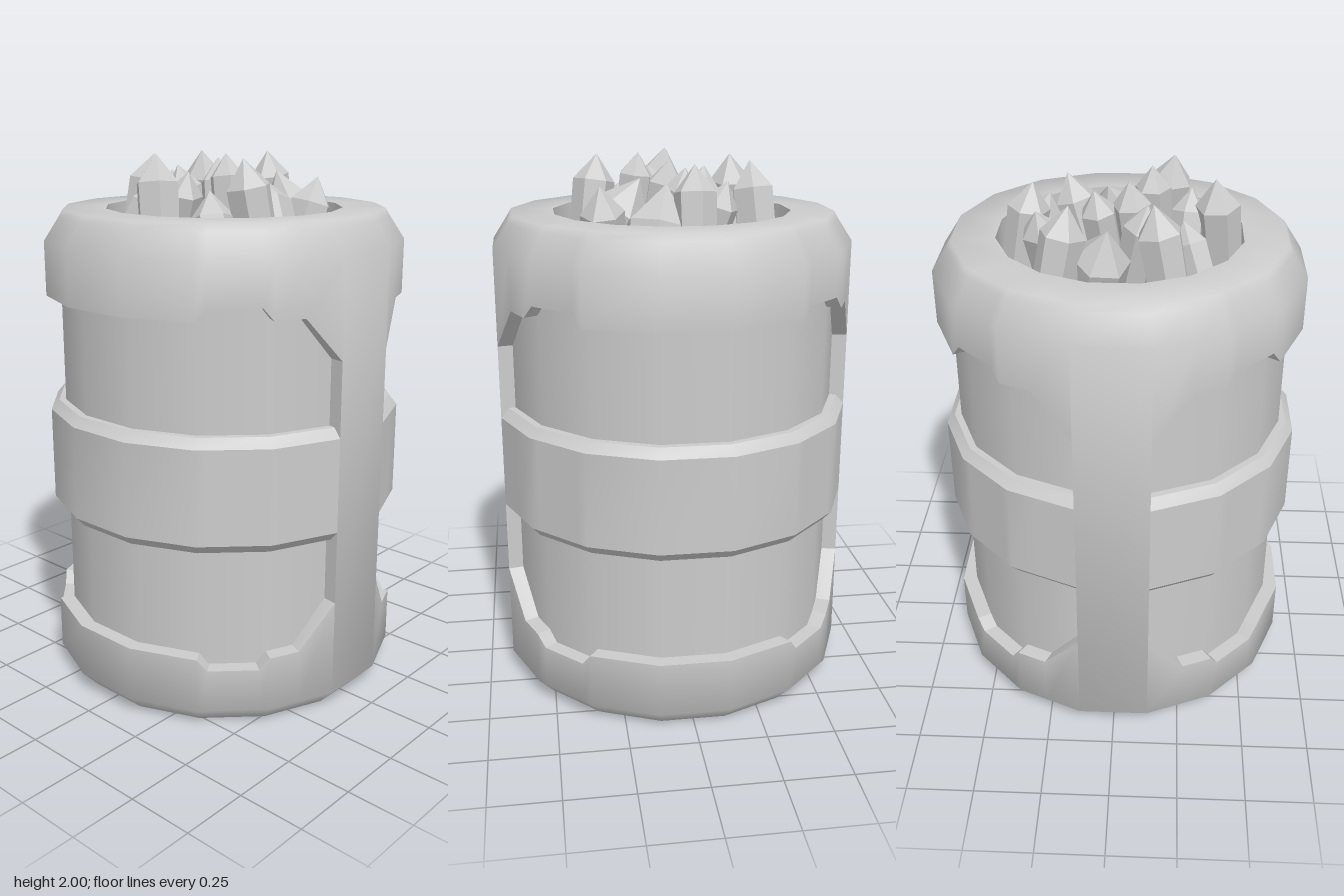
import * as THREE from 'three';
import { toCreasedNormals } from 'three/addons/utils/BufferGeometryUtils.js';

const RAD = Math.PI / 180, STEP = 22.5;
const OUTER = 0.66, INNER = 0.605, FLOOR = 1.55;
const MID = 0.88; // height about which the two rows of recesses mirror
const material = new THREE.MeshStandardMaterial({ color: 0xcccccc });
const flatMaterial = new THREE.MeshStandardMaterial({ color: 0xcccccc, flatShading: true });

// Point on a 16-sided prism: angle in degrees from the front, flat-to-centre distance, height
function point(deg, apothem, y) {
  const off = deg - Math.round(deg / STEP) * STEP;
  const r = apothem / Math.cos(off * RAD);
  return [r * Math.sin(deg * RAD), y, r * Math.cos(deg * RAD)];
}

function quad(out, a, b, c, d) {
  out.push(...a, ...b, ...c, ...a, ...c, ...d);
}

function addMesh(group, name, positions, crease) {
  const g = new THREE.BufferGeometry();
  g.setAttribute('position', new THREE.Float32BufferAttribute(positions, 3));
  const mesh = new THREE.Mesh(toCreasedNormals(g, crease), material);
  mesh.name = name;
  group.add(mesh);
}

// Recess edge under the top cap: [angle, height], mirrored about the side at 90 degrees
const quarter = [[11.25, 1.33], [23.7, 1.49], [33.75, 1.49], [37, 1.535], [53, 1.535], [56.25, 1.49], [78.75, 1.49]];
const edge = [...quarter, ...quarter.map(([d, y]) => [180 - d, y]).reverse()];
const BAND_TOP = 1.055, BEVEL_TOP = 1.09;
const flip = (y) => 2 * MID - y;

// Profiles as [apothem, height]
const bottomProfile = [[0, 0], [0.6, 0], [OUTER, 0.065]];
const topProfile = [[OUTER, 1.69], [0.605, 1.775], [0.59, 1.8], [0.435, 1.8], [0.435, FLOOR], [0, FLOOR]];

function buildShell(group) {
  const shell = [], walls = [];
  const strip = (d0, d1, rows) => {
    // each row is [apothem, height at d0, height at d1]
    for (let i = 0; i < rows.length - 1; i++) {
      const [a, a0, a1] = rows[i], [b, b0, b1] = rows[i + 1];
      quad(shell, point(d0, a, a0), point(d1, a, a1), point(d1, b, b1), point(d0, b, b0));
    }
  };
  const level = (profile) => profile.map(([a, y]) => [a, y, y]);

  for (const turn of [0, 180]) {
    // vertical rib joining the two caps
    strip(turn - 11.25, turn + 11.25, level([...bottomProfile, ...topProfile]));
    // caps and middle band beside it
    for (let i = 0; i < edge.length - 1; i++) {
      const [d0, y0] = edge[i], [d1, y1] = edge[i + 1];
      const s = turn + d0, e = turn + d1;
      strip(s, e, [...level(bottomProfile), [OUTER, flip(y0), flip(y1)]]);
      strip(s, e, level([[OUTER, flip(BAND_TOP)], [OUTER, BAND_TOP]]));
      strip(s, e, [[OUTER, y0, y1], ...level(topProfile)]);
    }
    // recess walls: bevelled along the band, straight elsewhere
    const outline = [];
    for (let d = 11.25; d < 170; d += STEP) outline.push([d, BAND_TOP, BEVEL_TOP]);
    for (const [d, y] of [...edge].reverse()) outline.push([d, y, y]);
    for (const upper of [true, false]) {
      const loop = upper ? outline : outline.map(([d, o, n]) => [d, flip(o), flip(n)]).reverse();
      loop.forEach(([d0, o0, n0], i) => {
        const [d1, o1, n1] = loop[(i + 1) % loop.length];
        const s = turn + d0, e = turn + d1;
        quad(walls, point(s, OUTER, o0), point(e, OUTER, o1), point(e, 0.63, n1), point(s, 0.63, n0));
        quad(walls, point(s, 0.63, n0), point(e, 0.63, n1), point(e, INNER, n1), point(s, INNER, n0));
      });
    }
  }
  addMesh(group, 'outerShell', shell, 1.3);
  addMesh(group, 'recessWalls', walls, 0.45);
}

// Crystals: [tip x, tip z, tip height, base x, base z, radius]
const crystals = [
  [-0.12, -0.24, 1.99, -0.21, -0.27, 0.08],
  [0.03, -0.30, 1.92, 0.10, -0.18, 0.10],
  [0.16, -0.26, 1.99, 0.25, -0.30, 0.08],
  [0.28, -0.16, 1.93, 0.22, -0.03, 0.07],
  [0.30, -0.04, 1.99, 0.38, -0.04, 0.075],
  [0.25, 0.05, 1.92, 0.36, 0.13, 0.115],
  [0.21, 0.28, 1.91, 0.10, 0.24, 0.08],
  [0.05, 0.12, 1.92, -0.04, 0.33, 0.10],
  [-0.11, 0.11, 2.0, -0.13, 0.17, 0.065],
  [-0.19, 0.26, 1.99, -0.13, 0.32, 0.08],
  [-0.25, 0.06, 1.94, -0.22, -0.07, 0.065],
  [-0.33, -0.02, 2.0, -0.38, 0.05, 0.08],
  [-0.22, -0.12, 1.89, -0.34, -0.26, 0.065],
  [-0.10, -0.14, 1.95, -0.02, -0.08, 0.07],
  [-0.03, 0.00, 1.98, -0.08, 0.07, 0.07],
  [0.09, -0.04, 1.96, 0.02, 0.03, 0.065],
  [-0.25, 0.16, 1.88, -0.32, 0.27, 0.08],
];

function buildCrystals(group) {
  const cluster = new THREE.Group();
  cluster.name = 'crystals';
  crystals.forEach(([tx, tz, ty, bx, bz, r], i) => {
    const base = new THREE.Vector3(bx, FLOOR - 0.02, bz);
    const axis = new THREE.Vector3(tx, ty, tz).sub(base);
    const len = axis.length();
    const profile = [[r * 0.9, 0], [r, len - r * 1.25], [0, len]].map(([x, y]) => new THREE.Vector2(x, y));
    const mesh = new THREE.Mesh(new THREE.LatheGeometry(profile, 6, i * 0.7), flatMaterial);
    mesh.name = 'crystal';
    mesh.position.copy(base);
    mesh.quaternion.setFromUnitVectors(new THREE.Vector3(0, 1, 0), axis.normalize());
    cluster.add(mesh);
  });
  group.add(cluster);
}

export function createModel() {
  const group = new THREE.Group();
  group.name = 'crystalBarrel';

  // inner drum seen through the recesses
  const radius = INNER / Math.cos((STEP / 2) * RAD);
  const drum = new THREE.CylinderGeometry(radius, radius, 1.4, 16, 1, true, (STEP / 2) * RAD);
  drum.translate(0, MID, 0);
  const drumMesh = new THREE.Mesh(drum, material);
  drumMesh.name = 'innerDrum';
  group.add(drumMesh);

  buildShell(group);
  buildCrystals(group);
  return group;
}
